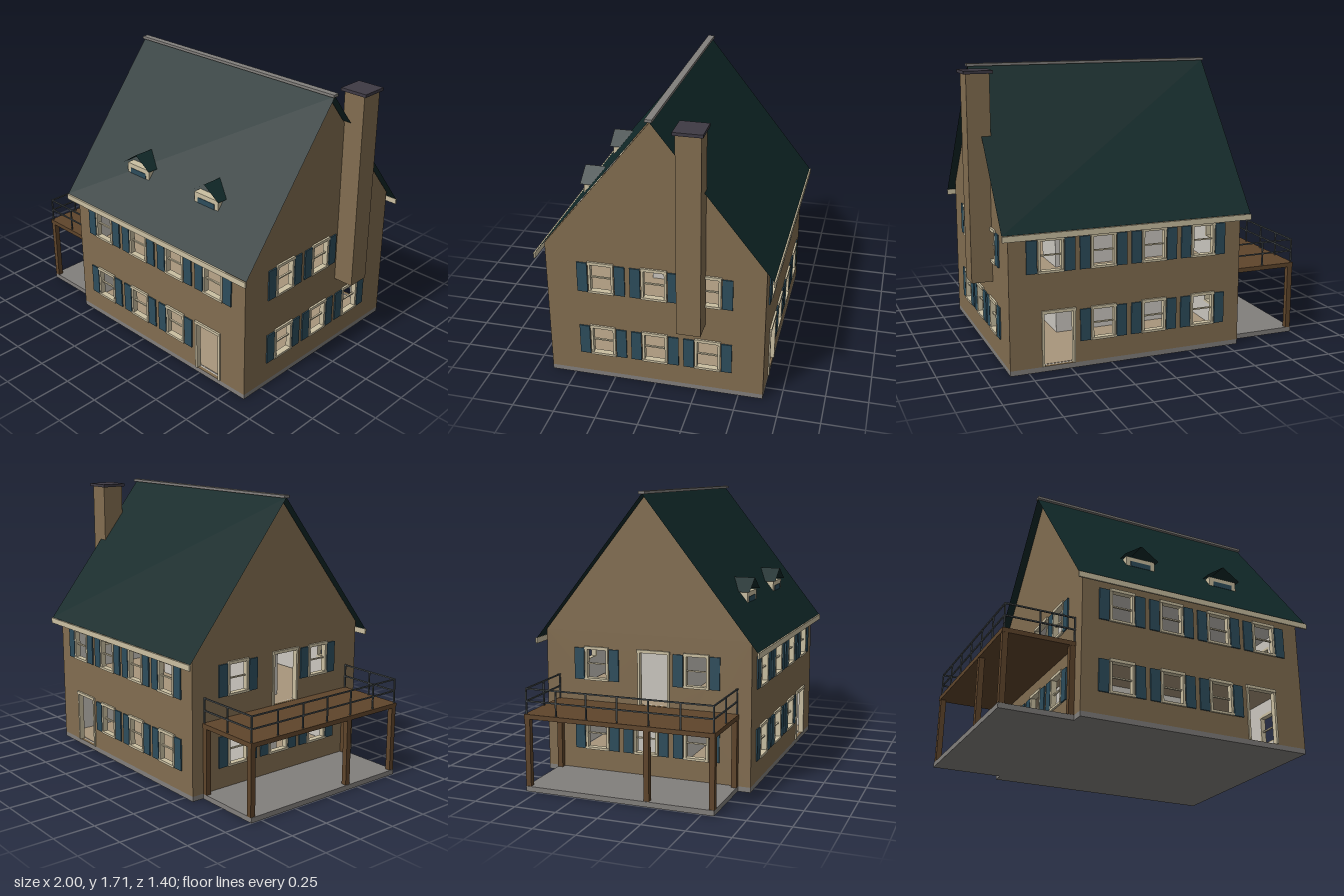
import * as THREE from 'three';

const mat = (name, color, double) => {
  const m = new THREE.MeshStandardMaterial({ color });
  m.name = name;
  if (double) m.side = THREE.DoubleSide;
  return m;
};

export function createModel() {
  const M = {
    wall: mat('wall brown', 0x826d50),
    roof: mat('roof green', 0x102828, true),
    shutter: mat('shutter blue', 0x2d4d5c),
    trim: mat('trim cream', 0xcbc0a2),
    inner: mat('interior plaster', 0xcbc7c0),
    wood: mat('deck wood', 0x5f452b),
    stone: mat('stone grey', 0x827f7c),
    cap: mat('chimney cap grey', 0x3e3a44),
    rail: mat('railing grey', 0x4a5052),
    floor: mat('floor tan', 0xa8967c),
  };
  const root = new THREE.Group();
  root.name = 'house';

  const group = (name, parent = root) => {
    const g = new THREE.Group();
    g.name = name;
    parent.add(g);
    return g;
  };
  const add = (name, geo, m, parent = root) => {
    const mesh = new THREE.Mesh(geo, m);
    mesh.name = name;
    parent.add(mesh);
    return mesh;
  };
  // box given by its limits on each axis
  const box = (name, m, x0, x1, y0, y1, z0, z1, parent = root) => {
    const mesh = add(name, new THREE.BoxGeometry(x1 - x0, y1 - y0, z1 - z0), m, parent);
    mesh.position.set((x0 + x1) / 2, (y0 + y1) / 2, (z0 + z1) / 2);
    return mesh;
  };

  const X0 = -0.575, X1 = 0.86, CX = (X0 + X1) / 2, HZ = 0.645, HX = (X1 - X0) / 2;
  const BASE = 0.03, EAVE = 0.875, PEAK = 1.68;

  // foundation slabs
  box('houseSlab', M.stone, X0, X1, 0, BASE, -HZ, HZ);
  box('patioSlab', M.stone, -1, X0, 0, BASE, -0.57, 0.57);

  // walls, each built facing +z with openings, then turned into place
  const outline = (half, peak) => {
    const s = new THREE.Shape();
    s.moveTo(-half, BASE);
    s.lineTo(half, BASE);
    s.lineTo(half, EAVE);
    if (peak) s.lineTo(0, PEAK - (HZ - half) * 0.2);
    s.lineTo(-half, EAVE);
    s.closePath();
    return s;
  };
  const openings = {
    window: { w: 0.13, shutters: true },
    door: { w: 0.18, shutters: false },
  };
  const buildWall = (name, half, peak, holes, x, z, turn) => {
    const g = group(name);
    g.position.set(x, 0, z);
    g.rotation.y = turn;
    const cut = (shape) => {
      for (const [kind, c, y0, y1] of holes) {
        const h = openings[kind].w / 2;
        const p = new THREE.Path();
        p.moveTo(c - h, y0);
        p.lineTo(c - h, y1);
        p.lineTo(c + h, y1);
        p.lineTo(c + h, y0);
        p.closePath();
        shape.holes.push(p);
      }
      return shape;
    };
    const layer = (part, shape, depth, back, m) =>
      add(part, new THREE.ExtrudeGeometry(cut(shape), { depth, bevelEnabled: false }), m, g).position.z = back;
    layer('outerWall', outline(half, peak), 0.02, -0.02, M.wall);
    layer('innerWall', outline(peak ? half - 0.025 : half, false), 0.005, -0.025, M.inner);

    for (const [kind, c, y0, y1] of holes) {
      const { w, shutters } = openings[kind];
      const h = w / 2;
      const f = group(kind, g);
      for (const s of [-1, 1]) {
        const e = c + s * (h + 0.003);
        box('jamb', M.trim, e - 0.007, e + 0.007, y0, y1, -0.025, 0.008, f);
        if (shutters) {
          const k = c + s * (h + 0.047);
          box('shutter', M.shutter, k - 0.031, k + 0.031, y0 - 0.008, y1 + 0.002, 0, 0.008, f);
        }
      }
      box('header', M.trim, c - h - 0.012, c + h + 0.012, y1 - 0.005, y1 + 0.013, -0.025, 0.012, f);
      if (shutters) {
        box('sill', M.trim, c - h - 0.012, c + h + 0.012, y0 - 0.01, y0 + 0.004, -0.025, 0.012, f);
        const ym = (y0 + y1) / 2;
        box('sashRail', M.trim, c - h, c + h, ym - 0.004, ym + 0.004, -0.015, -0.004, f);
      }
    }
  };
  const LOW = [0.165, 0.345], HIGH = [0.592, 0.773];
  const long = (s) => [
    ...[-0.33, -0.015, 0.3].map((x) => ['window', s * (x - CX), ...LOW]),
    ...[-0.33, -0.015, 0.3, 0.615].map((x) => ['window', s * (x - CX), ...HIGH]),
    ['door', s * (0.572 - CX), BASE + 0.002, 0.35],
  ];
  const ends = [-0.315, 0, 0.315];
  buildWall('frontWall', HX - 0.02, false, long(1), CX, HZ, 0);
  buildWall('backWall', HX - 0.02, false, long(-1), CX, -HZ, Math.PI);
  buildWall('rightEndWall', HZ, true,
    [...ends.map((c) => ['window', c, ...LOW]), ...ends.map((c) => ['window', c, ...HIGH])], X1, 0, Math.PI / 2);
  buildWall('leftEndWall', HZ, true,
    [...ends.map((c) => ['window', c, ...LOW]), ['window', -0.315, ...HIGH], ['window', 0.315, ...HIGH],
      ['door', 0.05, 0.457, 0.775]], X0, 0, -Math.PI / 2);

  // interior: floors, central core and a staircase with handrail
  const inside = group('interior');
  box('groundFloor', M.floor, X0 + 0.026, X1 - 0.026, BASE, BASE + 0.002, -0.61, 0.61, inside);
  box('upperFloor', M.floor, X0 + 0.026, X1 - 0.026, 0.435, 0.455, -0.61, 0.61, inside);
  box('ceiling', M.inner, X0 + 0.026, X1 - 0.026, 0.84, 0.85, -0.61, 0.61, inside);
  box('coreWalls', M.inner, -0.42, 0.42, BASE, 0.84, -0.13, 0.13, inside);
  for (let i = 0; i < 13; i++) {
    const z = 0.3 - i * 0.04, y = 0.07 + i * 0.028;
    box('stairStep', M.floor, 0.421, 0.475, y, y + 0.045, z - 0.04, z, inside);
  }
  const hand = box('handrail', M.wood, 0.465, 0.472, -0.004, 0.004, -0.14, 0.14, inside);
  hand.position.set(0.468, 0.27, 0.27);
  hand.rotation.x = 0.61;

  // thin roof sheets, eaves boards and ridge cap
  const RX0 = -0.62, RX1 = 0.905, RZ = 0.69, RY = 0.825, TOP = 1.692;
  const sheet = (name, pts, parent) => {
    const geo = new THREE.BufferGeometry();
    geo.setAttribute('position', new THREE.Float32BufferAttribute(pts.flat(), 3));
    geo.setIndex(pts.length === 4 ? [0, 1, 2, 0, 2, 3] : [0, 1, 2]);
    geo.computeVertexNormals();
    return add(name, geo, M.roof, parent);
  };
  sheet('frontRoof', [[RX0, RY, RZ], [RX1, RY, RZ], [RX1, TOP, 0], [RX0, TOP, 0]]);
  sheet('backRoof', [[RX1, RY, -RZ], [RX0, RY, -RZ], [RX0, TOP, 0], [RX1, TOP, 0]]);
  for (const s of [-1, 1]) {
    const b = box('eavesBoard', M.trim, RX0, RX1, 0.79, 0.824, -0.005, 0.005);
    b.position.z = s * 0.694;
  }
  box('ridgeCap', M.stone, -0.622, 0.912, 1.69, 1.706, -0.02, 0.02);

  // dormers
  for (const x of [-0.143, 0.43]) {
    const d = group('dormer');
    d.position.x = x;
    box('dormerBox', M.trim, -0.094, 0.094, 1.04, 1.108, 0.44, 0.513, d);
    box('dormerWindow', M.shutter, -0.065, 0.065, 1.047, 1.08, 0.513, 0.516, d);
    sheet('dormerRoofLeft', [[0.112, 1.11, 0.53], [0.112, 1.11, 0.455], [0, 1.187, 0.396], [0, 1.187, 0.53]], d);
    sheet('dormerRoofRight', [[-0.112, 1.11, 0.455], [-0.112, 1.11, 0.53], [0, 1.187, 0.53], [0, 1.187, 0.396]], d);
  }

  // chimney
  box('chimney', M.wall, 0.85, 0.985, 0.46, 1.668, -0.3, -0.16);
  box('chimneyCap', M.cap, 0.832, 1, 1.668, 1.686, -0.312, -0.148);

  // raised deck with posts
  const deck = group('deck');
  box('deckFloor', M.wood, -1, X0, 0.428, 0.455, -0.572, 0.572, deck);
  for (const [x, z] of [[-0.98, 0.555], [-0.98, 0.175], [-0.98, -0.555], [-0.593, 0.555], [-0.593, -0.555]])
    box('deckPost', M.wood, x - 0.016, x + 0.016, BASE, 0.428, z - 0.016, z + 0.016, deck);

  // railing round the three open sides
  const r = 0.004;
  for (const y of [0.53, 0.602]) {
    for (const z of [-0.562, 0.562]) box('railBar', M.rail, -0.992, X0, y - r, y + r, z - r, z + r, deck);
    box('railBar', M.rail, -0.992, -0.984, y - r, y + r, -0.562, 0.562, deck);
  }
  const upright = (x, z) => box('railUpright', M.rail, x - r, x + r, 0.455, 0.602, z - r, z + r, deck);
  for (const z of [-0.562, 0.562]) for (const x of [-0.988, -0.784, -0.58]) upright(x, z);
  for (let i = 1; i < 6; i++) upright(-0.988, -0.562 + i * 1.124 / 6);

  return root;
}
